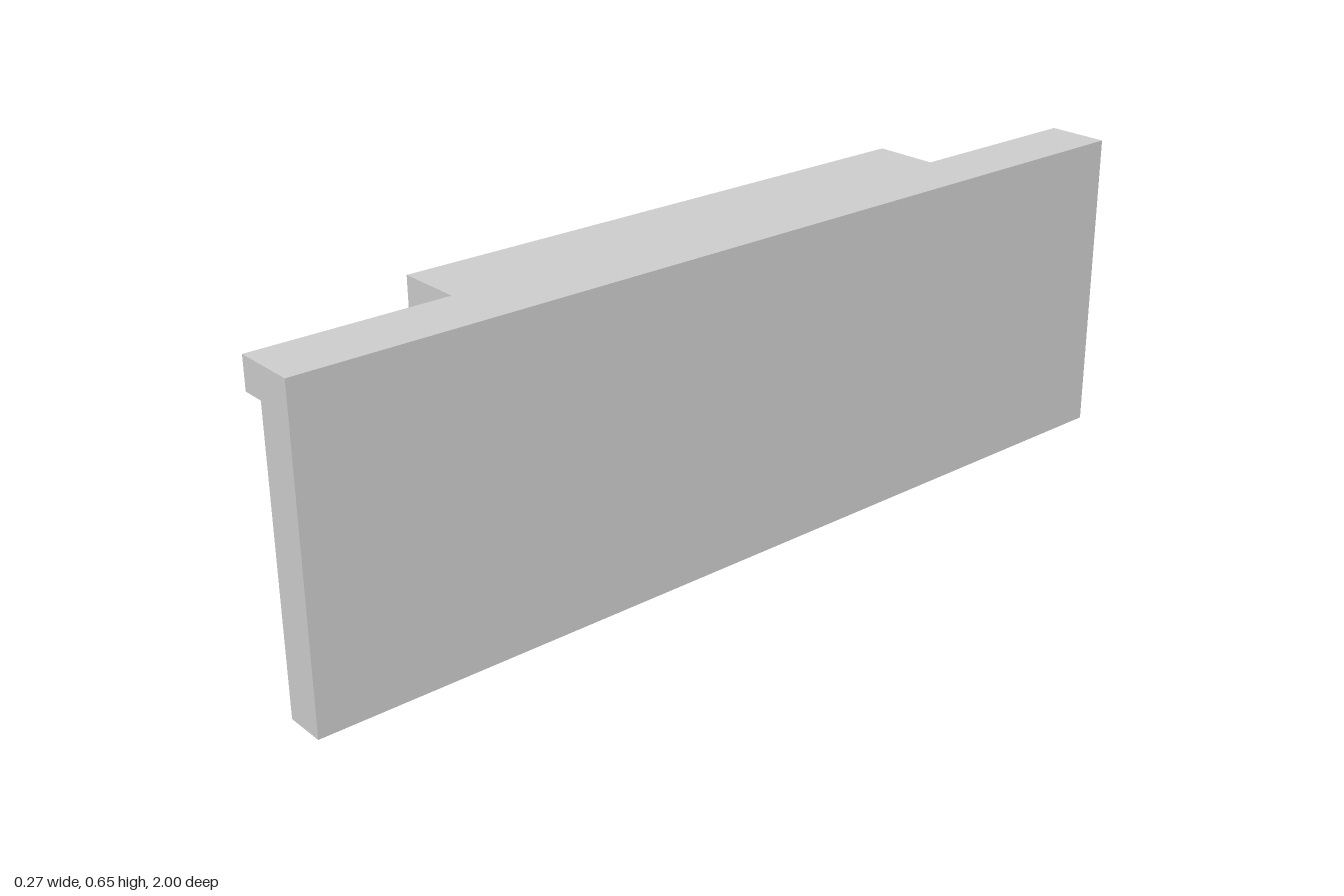
import * as THREE from 'three';

const material = new THREE.MeshStandardMaterial({ color: 0xcccccc, flatShading: true });

// Closed path from [x, z] plan points (shape y is -z)
const plan = (points, Type) => new Type(points.map(([x, z]) => new THREE.Vector2(x, -z)));

const rect = (x0, x1, z0, z1) => [[x0, z0], [x0, z1], [x1, z1], [x1, z0]];

// Raises a plan shape from y0 to y1
function raise(name, shape, y0, y1) {
  const geometry = new THREE.ExtrudeGeometry(shape, { depth: y1 - y0, bevelEnabled: false });
  geometry.rotateX(-Math.PI / 2).translate(0, y0, 0);
  const mesh = new THREE.Mesh(geometry, material);
  mesh.name = name;
  return mesh;
}

export function createModel() {
  const group = new THREE.Group();
  group.name = 'wallPanel';

  const FACE = 0.136, BACK = -0.136, PANEL = 0.051, RECESS = -0.067, LIP = 0.003;
  const CAP = 0.59, TOP = 0.655;

  // Wall with two end posts and a recessed middle, pierced by sockets from below
  const body = plan([
    [FACE, -1], [FACE, 1], [PANEL, 1], [PANEL, 0.6], [BACK, 0.6], [BACK, 0.488],
    [RECESS, 0.488], [RECESS, -0.488], [BACK, -0.488], [BACK, -0.6], [PANEL, -0.6], [PANEL, -1],
  ], THREE.Shape);
  for (const z of [0.365, 0.184, -0.024, -0.21, -0.375]) {
    body.holes.push(plan(rect(-0.01, 0.079, z - 0.048, z + 0.048), THREE.Path));
  }
  group.add(raise('wallBody', body, 0, CAP));

  // Overhanging cap, wider over the posts and recess
  const cap = plan([
    [FACE, -1], [FACE, 1], [LIP, 1], [LIP, 0.6], [BACK, 0.6], [BACK, -0.6], [LIP, -0.6], [LIP, -1],
  ], THREE.Shape);
  group.add(raise('topCap', cap, CAP, TOP));

  // Small block hanging under the cap in the recess
  const block = plan(rect(BACK, RECESS, -0.068, 0.016), THREE.Shape);
  group.add(raise('hangingBlock', block, 0.508, CAP));

  return group;
}
